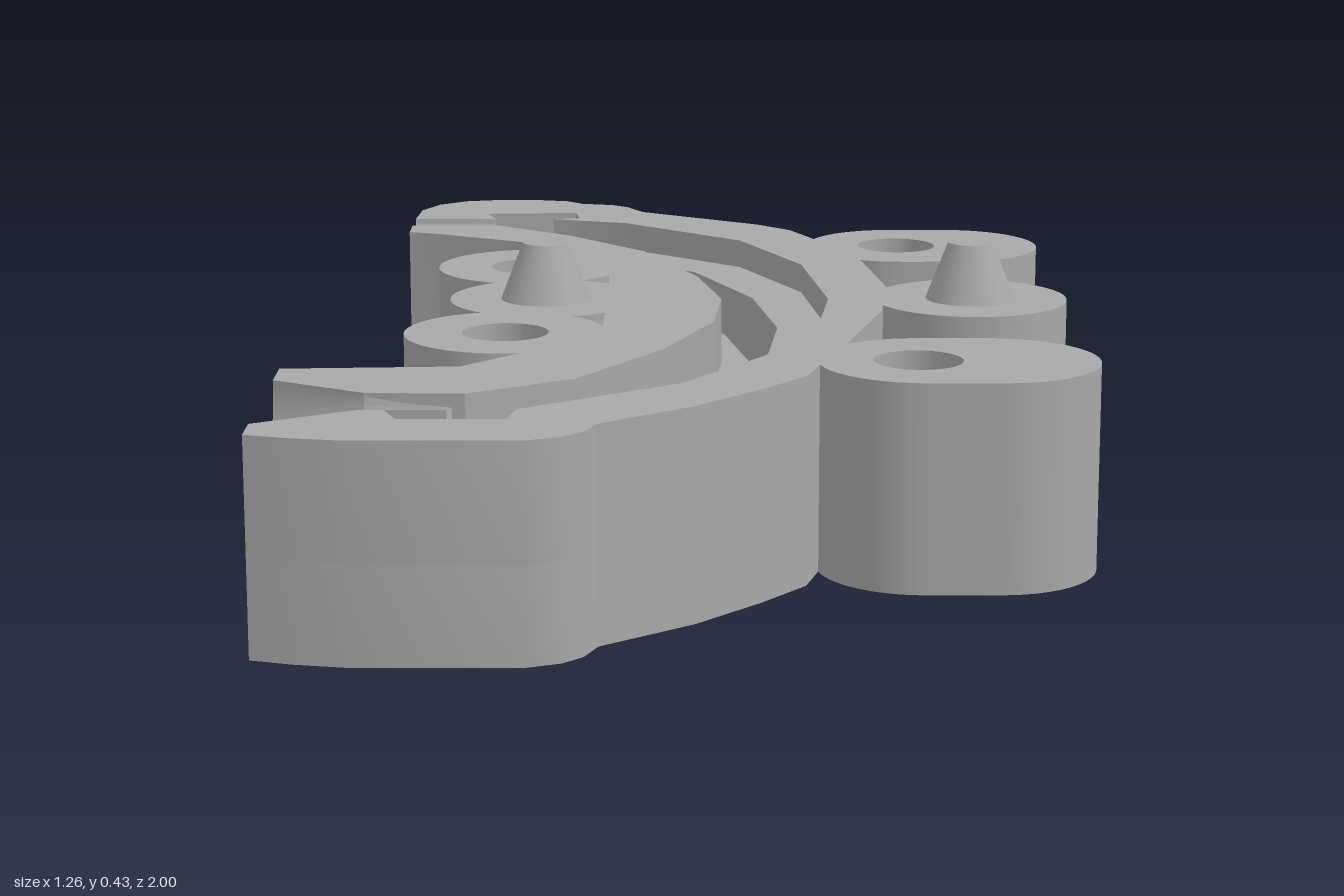
import * as THREE from 'three';
import { toCreasedNormals } from 'three/addons/utils/BufferGeometryUtils.js';

const TOP = 0.33, SPLIT = 0.15;

// Edges of the curved cavity, back to front, as [x, z]
const cavityInner = [[-.37, -.71], [-.23, -.6], [-.09, -.44], [.005, -.2], [.045, 0], [.03, .19], [-.05, .4], [-.18, .61], [-.34, .71]];
const cavityOuter = [[-.27, -.78], [-.13, -.735], [.085, -.55], [.19, -.31], [.225, 0], [.2, .22], [.12, .43], [-.02, .64], [-.26, .81]];

// Outside of the block on the convex side, front to back
const convexEdge = [[-.635, .9], [-.635, .965], [-.57, .985], [-.49, 1], [-.24, 1], [-.19, .98], [-.16, .95], [-.14, .9], [0, .79],
  [.1, .68], [.17, .59], [.2, .48], [.24, .36], [.31, .1], [.33, -.1], [.3, -.34], [.24, -.5], [.22, -.57], [.18, -.66], [.12, -.72], [-.1, -.86],
  [-.13, -.915], [-.16, -.94], [-.22, -.955], [-.25, -.985], [-.31, -1], [-.39, -1], [-.45, -.985], [-.5, -.945], [-.53, -.88], [-.535, -.78]];
// Outside on the concave side, back to front
const concaveEdge = [[-.535, -.71], [-.535, -.64], [-.48, -.62], [-.28, -.515], [-.24, -.45], [-.15, -.22], [-.145, 0],
  [-.15, .22], [-.275, .43], [-.36, .525], [-.635, .54], [-.635, .62]];
// Small end pockets
const backPocket = [[-.38, -.78], [-.4, -.84], [-.23, -.85], [-.22, -.79]];
const frontPocket = [[-.27, .87], [-.43, .87], [-.45, .815], [-.49, .815]];

export function createModel() {
  const group = new THREE.Group();
  const grey = new THREE.MeshStandardMaterial({ color: 0xa8a8a8, side: THREE.DoubleSide });
  grey.name = 'grey plastic';

  const add = (name, geometry, x = 0, y = 0, z = 0) => {
    const mesh = new THREE.Mesh(geometry, grey);
    mesh.name = name;
    mesh.position.set(x, y, z);
    group.add(mesh);
    return mesh;
  };
  const outline = pts => new THREE.Shape(pts.map(([x, z]) => new THREE.Vector2(x, -z)));
  const slab = (shape, height) => toCreasedNormals(
    new THREE.ExtrudeGeometry(shape, { depth: height, bevelEnabled: false, curveSegments: 24 }).rotateX(-Math.PI / 2), 0.5);

  // Block: solid base, with two upper halves on either side of the cavity
  add('base', slab(outline([...convexEdge, ...concaveEdge]), SPLIT));
  add('convexHalf', slab(outline([...convexEdge, ...backPocket, ...cavityOuter, ...frontPocket]), TOP - SPLIT), 0, SPLIT);
  add('concaveHalf', slab(outline([...concaveEdge, [-.49, .705], ...[...cavityInner].reverse()]), TOP - SPLIT), 0, SPLIT);

  // Stepped cavity floor: [fraction from inner to outer edge, height]
  const profile = [[0, .22], [.26, .22], [.52, .16], [.525, .28], [1, .28]];
  const positions = [];
  const point = (i, [t, y]) => {
    const a = cavityInner[i], b = cavityOuter[i];
    return [a[0] + (b[0] - a[0]) * t, y, a[1] + (b[1] - a[1]) * t];
  };
  for (let i = 0; i < cavityInner.length - 1; i++) {
    for (let j = 0; j < profile.length - 1; j++) {
      const a = point(i, profile[j]), b = point(i + 1, profile[j]);
      const c = point(i + 1, profile[j + 1]), d = point(i, profile[j + 1]);
      positions.push(...a, ...b, ...c, ...a, ...c, ...d);
    }
  }
  const cavity = new THREE.BufferGeometry();
  cavity.setAttribute('position', new THREE.Float32BufferAttribute(positions, 3));
  cavity.computeVertexNormals();
  add('cavity', cavity);

  // Block along x with a half-round channel in its top
  const channel = (name, x0, x1, z, r) => {
    const s = new THREE.Shape();
    s.moveTo(-r, SPLIT - TOP);
    s.lineTo(r, SPLIT - TOP);
    s.lineTo(r, 0);
    s.absarc(0, 0, r, 0, -Math.PI, true);
    const g = new THREE.ExtrudeGeometry(s, { depth: x1 - x0, bevelEnabled: false, curveSegments: 16 });
    add(name, toCreasedNormals(g.rotateY(Math.PI / 2), 0.5), x0, TOP, z);
  };
  channel('ventChannel', -.535, -.38, -.745, .035);
  channel('fillChannel', -.49, -.36, .76, .055);
  channel('funnelRim', -.635, -.633, .76, .14);
  const funnel = new THREE.CylinderGeometry(.14, .055, .145, 20, 1, true, Math.PI, Math.PI).rotateZ(Math.PI / 2);
  add('fillFunnel', funnel, -.5625, TOP, .76);

  // Rounded lugs, with a bolt hole where holeX is given
  const lug = (name, x0, x1, z, r, holeX) => {
    const s = new THREE.Shape();
    s.absarc(x1, -z, r, -Math.PI / 2, Math.PI / 2, false);
    s.absarc(x0, -z, r, Math.PI / 2, Math.PI * 1.5, false);
    if (holeX !== undefined) s.holes.push(new THREE.Path().absarc(holeX, -z, .07, 0, Math.PI * 2, true));
    add(name, slab(s, TOP));
  };
  lug('backOuterLug', .37, .465, -.5, .162, .37);
  lug('frontOuterLug', .35, .465, .48, .162, .345);
  lug('outerPinLug', .464, .466, -.01, .162);
  lug('backInnerLug', -.291, -.289, -.295, .162, -.29);
  lug('frontInnerLug', -.306, -.304, .27, .162, -.305);
  lug('innerPinLug', -.251, -.249, -.01, .162);

  // Tapered locating pins
  for (const x of [-.252, .465]) add('locatingPin', new THREE.CylinderGeometry(.038, .075, .096, 28), x, TOP + .048, -.01);

  return group;
}
